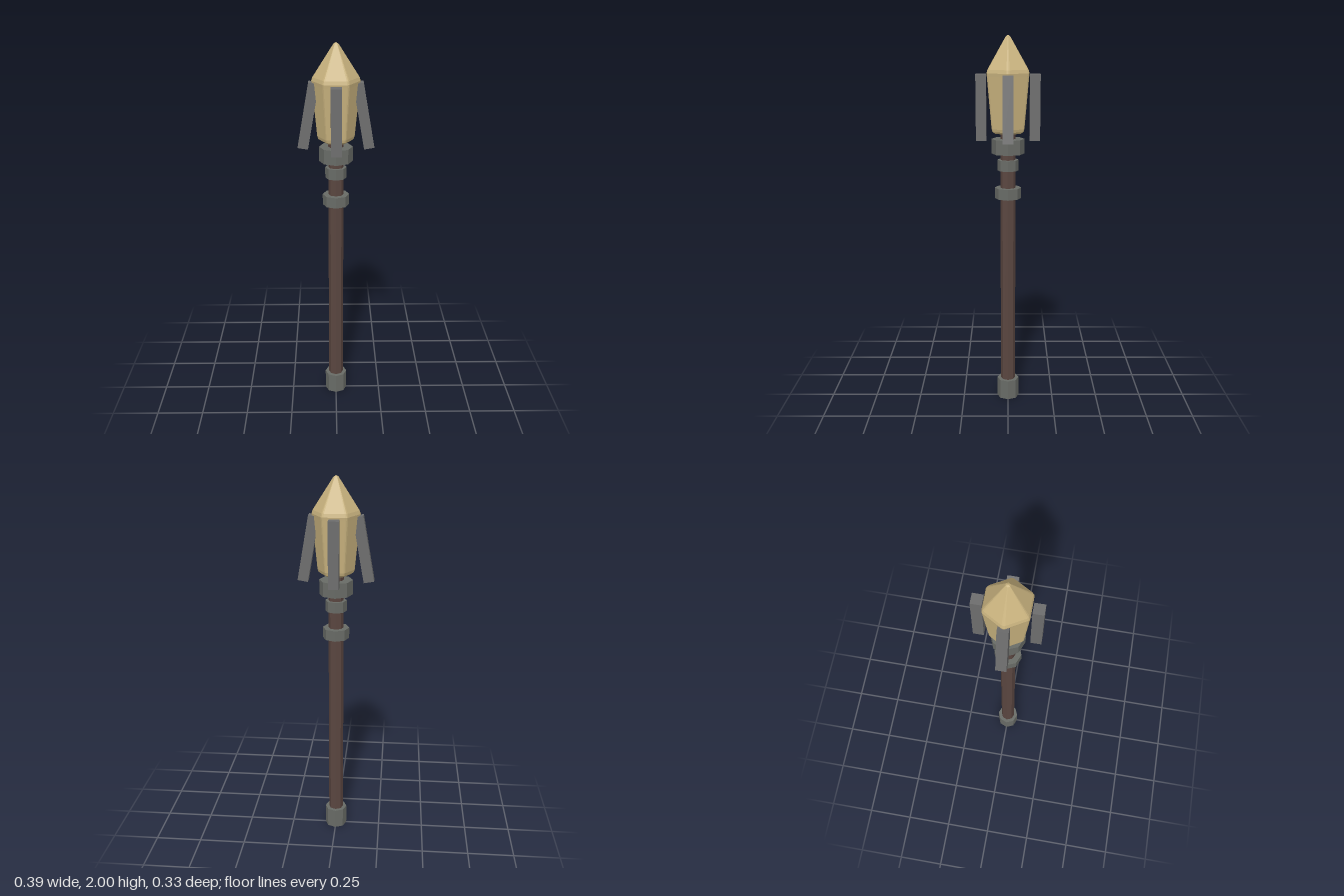
import * as THREE from 'three';

const material = (name, color, flatShading = true) => {
  const m = new THREE.MeshStandardMaterial({ color, flatShading });
  m.name = name;
  return m;
};

// Hexagonal cross-sections with softened corners, stacked from [radius, y] pairs
function softHexGeometry(profile) {
  const pos = [], index = [];
  const bevel = THREE.MathUtils.degToRad(4);
  const side = Math.cos(Math.PI / 6) / Math.cos(Math.PI / 6 - bevel);
  const n = 18;
  for (const [r, y] of profile) {
    for (let corner = 0; corner < 6; corner++) {
      for (const k of [-1, 0, 1]) {
        const a = corner * Math.PI / 3 + k * bevel;
        const q = r * (k === 0 ? 0.98 : side);
        pos.push(q * Math.cos(a), y, -q * Math.sin(a));
      }
    }
  }
  for (let i = 0; i < profile.length - 1; i++) {
    for (let j = 0; j < n; j++) {
      const a = i * n + j, b = i * n + (j + 1) % n;
      index.push(a, b, b + n, a, b + n, a + n);
    }
  }
  const g = new THREE.BufferGeometry();
  g.setAttribute('position', new THREE.Float32BufferAttribute(pos, 3));
  g.setIndex(index);
  g.computeVertexNormals();
  return g;
}

export function createModel() {
  const group = new THREE.Group();
  const wood = material('dark wood', 0x5a4640);
  const iron = material('ring iron', 0x686b66);
  const steel = material('prong steel', 0x6d6d6d);
  const brass = material('pale brass', 0xc8b27e);

  const add = (name, geometry, mat) => {
    const mesh = new THREE.Mesh(geometry, mat);
    mesh.name = name;
    group.add(mesh);
    return mesh;
  };

  // Eight-sided shaft and collars, each from y0 to y1
  const post = (name, r, y0, y1, mat) => {
    const mesh = add(name, new THREE.CylinderGeometry(r, r, y1 - y0, 8), mat);
    mesh.position.y = (y0 + y1) / 2;
  };
  post('shaft', 0.04, 0.02, 1.53, wood);
  post('buttCap', 0.06, 0, 0.11, iron);
  post('lowerRing', 0.07, 1.155, 1.212, iron);
  post('middleRing', 0.056, 1.305, 1.362, iron);
  post('upperRing', 0.0875, 1.395, 1.472, iron);

  // Faceted head, closed at the base and the tip
  add('head', softHexGeometry([
    [0, 1.503], [0.078, 1.503], [0.093, 1.513], [0.098, 1.528],
    [0.124, 1.795], [0.126, 1.812], [0.12, 1.83],
    [0.021, 1.981], [0.012, 1.994], [0, 2],
  ]), brass);

  // Four prongs: front and back upright, the side pair flared at the bottom
  const prong = new THREE.BoxGeometry(0.054, 0.34, 0.054);
  for (const s of [1, -1]) {
    add(s > 0 ? 'frontProng' : 'backProng', prong, steel).position.set(0, 1.635, s * 0.14);
    const flared = add(s > 0 ? 'leftProng' : 'rightProng', prong, steel);
    flared.position.set(s * 0.141, 1.635, 0);
    flared.rotation.z = s * THREE.MathUtils.degToRad(10);
  }
  return group;
}
